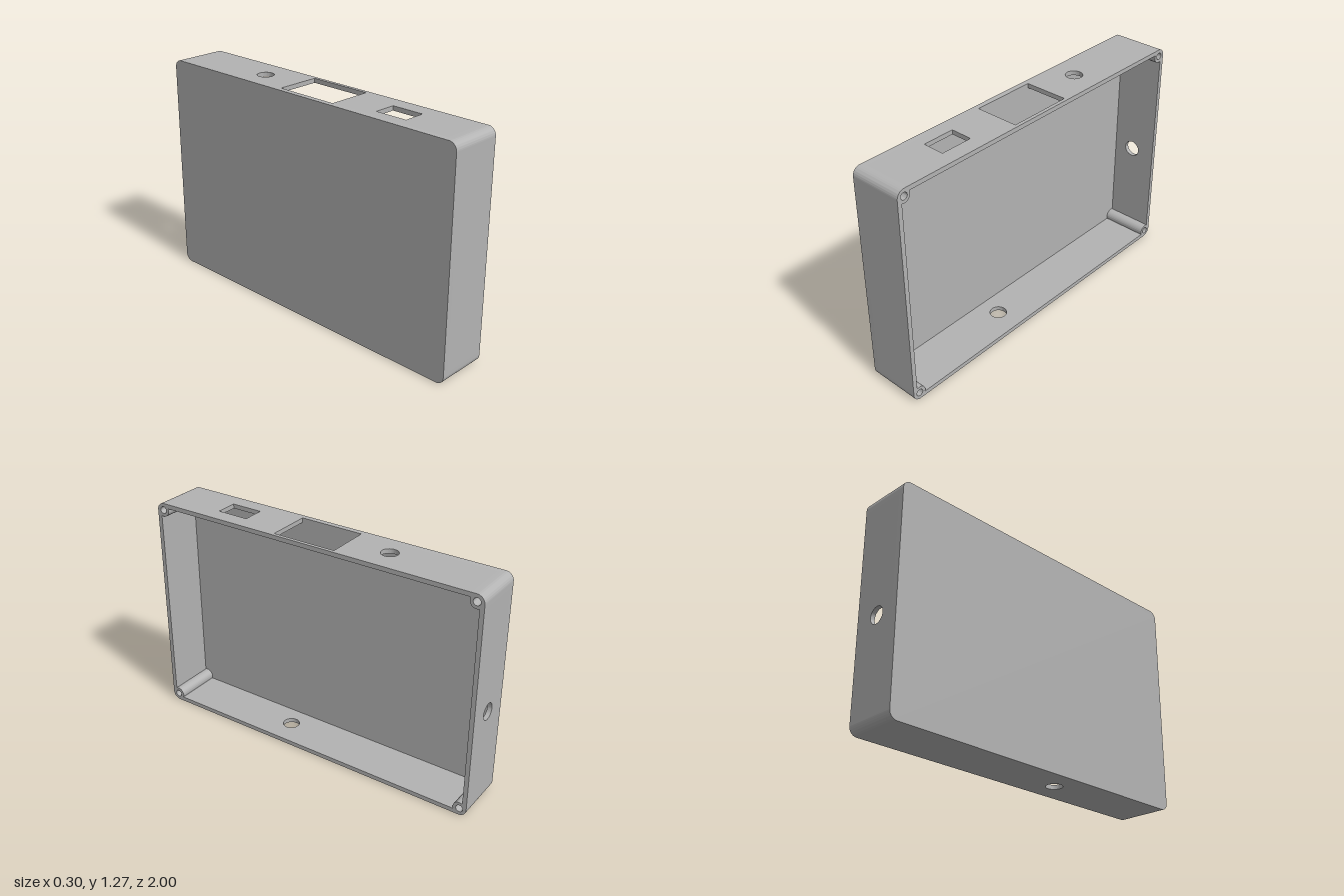
import * as THREE from 'three';
import { toCreasedNormals } from 'three/addons/utils/BufferGeometryUtils.js';

// Open-sided enclosure, modelled lying in XY with depth along Z, then turned so it opens to +x.
const W = 2, H = 1.275, D = 0.3;    // length, height, depth
const R = 0.045, T = 0.025;         // outer corner radius, wall thickness
const FLOOR = 0.03;                 // panel thickness
const C = 0.04, BOSS = 0.0375, SCREW = 0.02;
const REACH = C + Math.sqrt(BOSS ** 2 - (C - T) ** 2); // where a boss meets the inner wall
const Z0 = -D / 2 + FLOOR;          // inside face of the panel

function extrude(shape, depth) {
  return new THREE.ExtrudeGeometry(shape, { depth, bevelEnabled: false, curveSegments: 20 });
}

function circle(x, y, r) {
  return new THREE.Path().absarc(x, y, r, 0, Math.PI * 2, true);
}

function rect(x0, y0, x1, y1, Type = THREE.Path) {
  const p = new Type();
  p.moveTo(x0, y0);
  p.lineTo(x1, y0);
  p.lineTo(x1, y1);
  p.lineTo(x0, y1);
  p.closePath();
  return p;
}

function panelShape() {
  const s = new THREE.Shape();
  const x = W / 2 - R, y = H / 2 - R, q = Math.PI / 2;
  s.absarc(x, y, R, 0, q);
  s.absarc(-x, y, R, q, 2 * q);
  s.absarc(-x, -y, R, 2 * q, 3 * q);
  s.absarc(x, -y, R, 3 * q, 4 * q);
  s.closePath();
  return s;
}

// Rounded corner with a screw boss; the corner is at the origin, the inside towards +x +y
function cornerShape() {
  const a = Math.asin((C - T) / BOSS);
  const s = new THREE.Shape();
  s.moveTo(R, 0);
  s.lineTo(REACH, 0);
  s.lineTo(REACH, T);
  s.absarc(C, C, BOSS, -a, Math.PI / 2 + a);
  s.lineTo(0, REACH);
  s.lineTo(0, R);
  s.absarc(R, R, R, Math.PI, Math.PI * 1.5);
  s.holes.push(circle(C, C, SCREW));
  return s;
}

export function createModel() {
  const grey = new THREE.MeshStandardMaterial({ color: 0xb3b3b3 });
  grey.name = 'grey';
  const model = new THREE.Group();
  model.name = 'enclosure';
  const body = new THREE.Group();
  body.name = 'body';
  body.position.y = H / 2;
  body.rotation.y = Math.PI / 2;
  model.add(body);

  const add = (name, geometry) => {
    const mesh = new THREE.Mesh(toCreasedNormals(geometry, 0.5), grey);
    mesh.name = name;
    body.add(mesh);
  };

  // Large closed panel
  add('panel', extrude(panelShape(), FLOOR).translate(0, 0, -D / 2));

  // Four corners with screw bosses
  [[-1, -1], [1, -1], [1, 1], [-1, 1]].forEach(([sx, sy], i) => {
    add('cornerBoss', extrude(cornerShape(), D - FLOOR)
      .rotateZ(i * Math.PI / 2)
      .translate(sx * W / 2, sy * H / 2, Z0));
  });

  // Four side walls: name, turn about the centre, length, distance from centre, openings
  const walls = [
    ['topWall', 0, W, H / 2, [
      circle(0.4, -0.005, 0.047),
      rect(-0.21, Z0 + 0.001, 0.16, 0.13),
      rect(-0.635, -0.063, -0.45, 0.06),
    ]],
    ['backWall', -Math.PI / 2, H, W / 2, [circle(0.0675, 0, 0.047)]],
    ['bottomWall', Math.PI, W, H / 2, [circle(0.22, 0, 0.047)]],
    ['frontWall', Math.PI / 2, H, W / 2, []],
  ];
  for (const [name, turn, length, distance, openings] of walls) {
    const half = length / 2 - REACH;
    const shape = rect(-half, Z0, half, D / 2, THREE.Shape);
    shape.holes.push(...openings);
    add(name, extrude(shape, T)
      .rotateX(Math.PI / 2)
      .translate(0, distance, 0)
      .rotateZ(turn));
  }

  return model;
}
